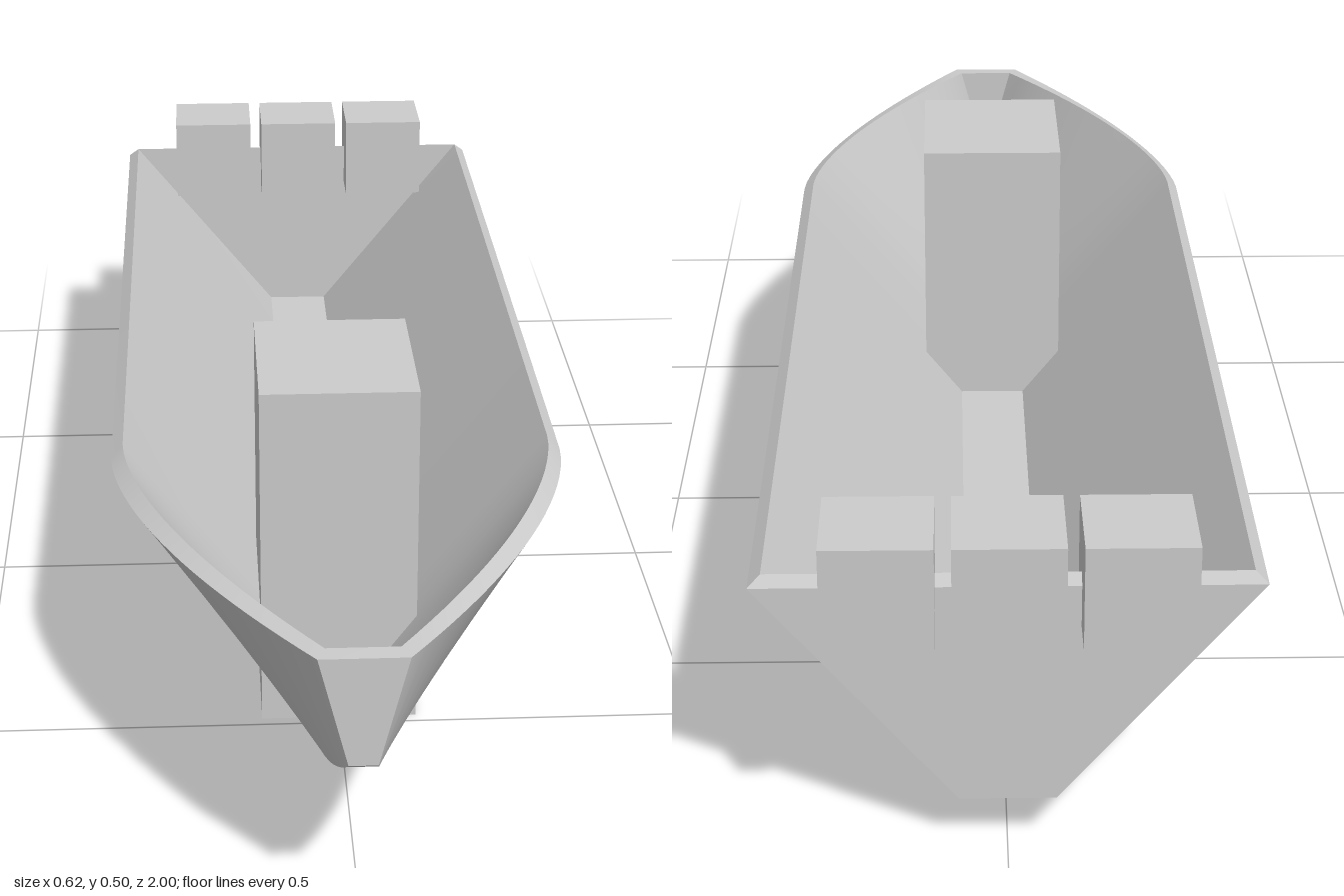
import * as THREE from 'three';
import { toCreasedNormals } from 'three/addons/utils/BufferGeometryUtils.js';

const material = new THREE.MeshStandardMaterial({ color: 0xcccccc });
const ramp = (z, start) => Math.max(0, (z - start) / (1 - start));

// Closed cross-section: outer skin down one side and up the other, then the inner skin back
function section(z) {
  const bend = Math.pow(ramp(z, 0.4), 1.6);
  const rise = ramp(z, 0.5);
  const sheerX = 0.31 - 0.255 * bend;
  const sheerY = 0.37 + 0.013 * bend;
  const rimX = sheerX - 0.016 + 0.006 * bend;
  const keelX = 0.06 - 0.042 * rise;
  const keelY = 0.067 + 0.171 * rise * rise + 0.005 * Math.max(0, (-0.6 - z) / 0.345);
  const floorX = keelX - 0.01;
  const floorY = keelY + 0.013;
  const innerZ = -0.935 + (z + 0.945) * (1.91 / 1.945);
  return [
    [rimX, 0.384, innerZ], [sheerX, sheerY, z], [keelX, keelY, z],
    [-keelX, keelY, z], [-sheerX, sheerY, z], [-rimX, 0.384, innerZ],
    [-floorX, floorY, innerZ], [floorX, floorY, innerZ],
  ];
}

// Hollow hull lofted through the sections
function hullGeometry() {
  const stations = [-0.945, -0.6, -0.1, 0.4];
  const steps = 20;
  for (let i = 1; i <= steps; i++) stations.push(0.4 + (0.6 * i) / steps);
  const rings = stations.map(section);
  const positions = [];
  const quad = (a, b, c, d) => [a, b, c, a, c, d].forEach((p) => positions.push(...p));

  for (let s = 0; s < rings.length - 1; s++) {
    const a = rings[s], b = rings[s + 1];
    for (let i = 0; i < 8; i++) {
      const j = (i + 1) % 8;
      quad(a[i], b[i], b[j], a[j]);
    }
  }
  // Bow and transom: outer face, rim and inner face
  const bow = rings[rings.length - 1], stern = rings[0];
  for (const face of [[1, 4, 3, 2], [0, 5, 4, 1], [0, 7, 6, 5]]) {
    quad(...face.map((i) => bow[i]));
    quad(...face.slice().reverse().map((i) => stern[i]));
  }
  const geometry = new THREE.BufferGeometry();
  geometry.setAttribute('position', new THREE.Float32BufferAttribute(positions, 3));
  return toCreasedNormals(geometry, 0.45);
}

function box(name, size, position) {
  const mesh = new THREE.Mesh(new THREE.BoxGeometry(...size), material);
  mesh.name = name;
  mesh.position.set(...position);
  return mesh;
}

export function createModel() {
  const model = new THREE.Group();
  model.name = 'motorboat';

  const hull = new THREE.Mesh(hullGeometry(), material);
  hull.name = 'hull';
  model.add(hull);

  // Tall block through the forward part of the hull
  model.add(box('console', [0.216, 0.496, 0.264], [0, 0.248, 0.352]));

  // Three engines straddling the transom
  const engines = new THREE.Group();
  engines.name = 'engines';
  for (const x of [-0.155, 0, 0.155]) {
    engines.add(box('engine', [0.135, 0.135, 0.135], [x, 0.3825, -0.9325]));
  }
  model.add(engines);

  return model;
}
